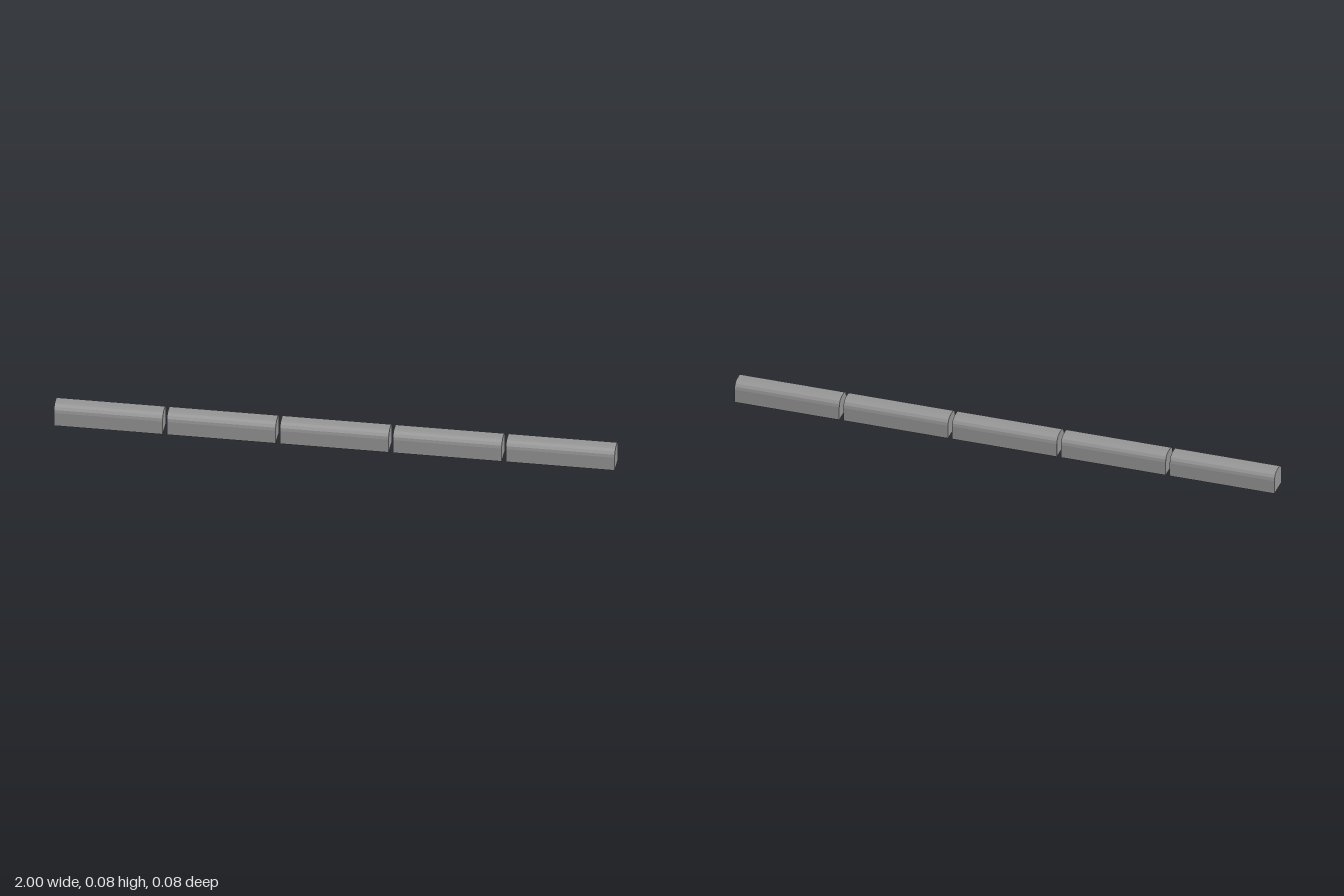
import * as THREE from 'three';

export function createModel() {
  const group = new THREE.Group();
  const material = new THREE.MeshStandardMaterial({ color: 0x959595, flatShading: true });
  const count = 5, length = 0.388, pitch = (2 - length) / (count - 1);
  const half = 0.0405, height = 0.081, radius = 0.029;

  // Cross-section: flat base, upright sides, faceted round top corners
  const profile = new THREE.Shape();
  profile.moveTo(-half, 0);
  profile.lineTo(half, 0);
  profile.lineTo(half, height - radius);
  profile.absarc(half - radius, height - radius, radius, 0, Math.PI / 2);
  profile.lineTo(radius - half, height);
  profile.absarc(radius - half, height - radius, radius, Math.PI / 2, Math.PI);
  profile.lineTo(-half, 0);

  // Extruded along x
  const geometry = new THREE.ExtrudeGeometry(profile, { depth: length, bevelEnabled: false, curveSegments: 2 });
  geometry.translate(0, 0, -length / 2);
  geometry.rotateY(Math.PI / 2);

  // Row of kerb blocks with narrow gaps
  for (let i = 0; i < count; i++) {
    const block = new THREE.Mesh(geometry, material);
    block.name = `kerbBlock${i + 1}`;
    block.position.x = (i - (count - 1) / 2) * pitch;
    group.add(block);
  }
  group.name = 'kerbRow';
  return group;
}
